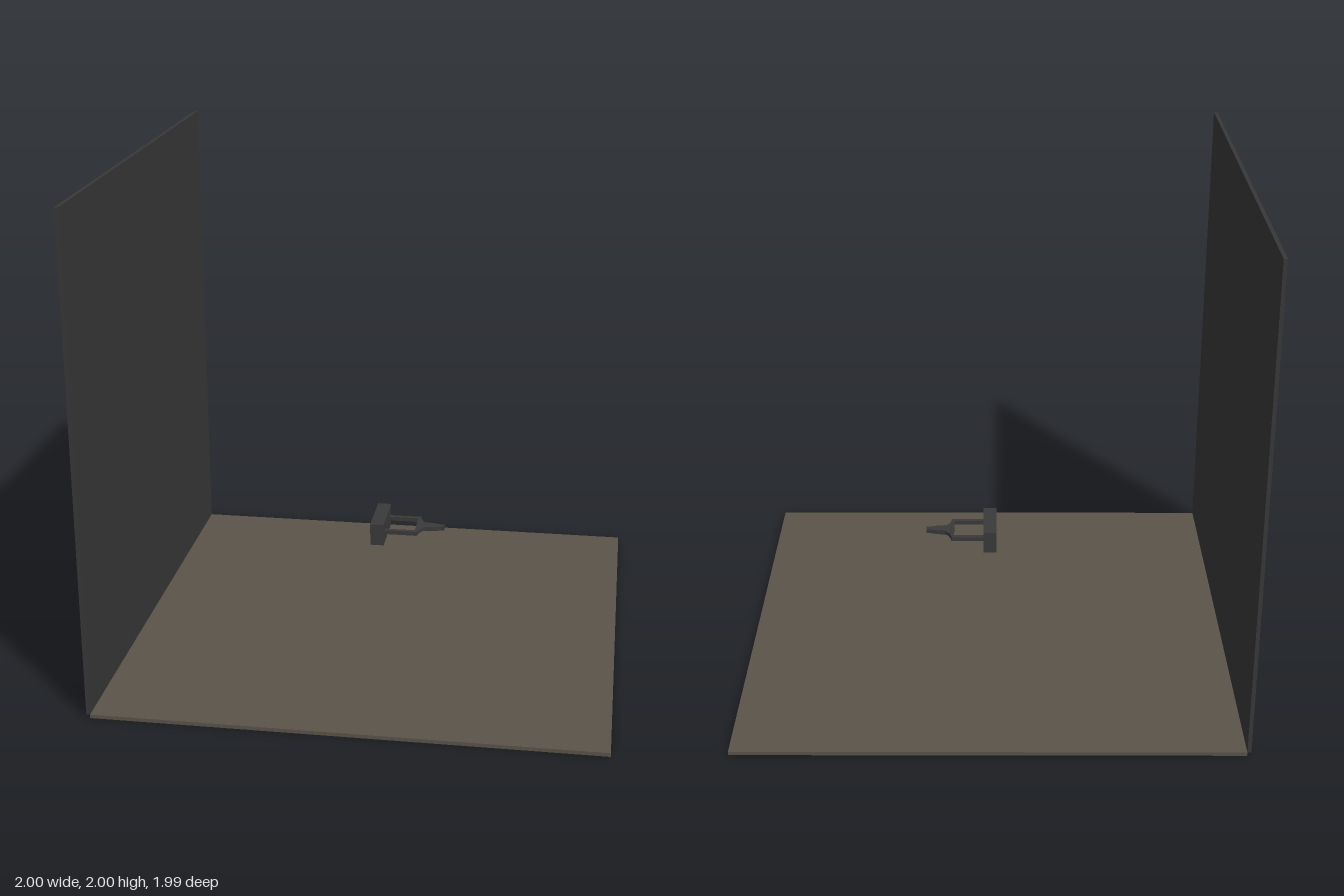
import * as THREE from 'three';

const mat = (name, color) => {
  const m = new THREE.MeshStandardMaterial({ color });
  m.name = name;
  return m;
};

export function createModel() {
  const group = new THREE.Group();
  const wallGrey = mat('wallGrey', 0x383838);
  const floorBrown = mat('floorBrown', 0x5a5449);
  const fixtureGrey = mat('fixtureGrey', 0x3a3a3b);
  const midY = 0.447;

  const add = (name, geometry, material, x = 0, y = 0, z = 0) => {
    const mesh = new THREE.Mesh(geometry, material);
    mesh.name = name;
    mesh.position.set(x, y, z);
    group.add(mesh);
  };
  const box = (name, material, size, pos) =>
    add(name, new THREE.BoxGeometry(...size), material, ...pos);

  // Floor slab and upright wall along its right edge
  box('floor', floorBrown, [1.985, 0.015, 1.985], [0.0075, 0.0075, 0]);
  box('wall', wallGrey, [0.015, 1.985, 1.985], [-0.9925, 1.0075, 0]);

  // Floating fixture: base block with two arms
  box('baseBlock', fixtureGrey, [0.056, 0.092, 0.23], [0, midY, 0]);
  for (const side of [-1, 1]) {
    box('arm', fixtureGrey, [0.132, 0.017, 0.018], [0.094, midY, side * 0.073]);
  }

  // Tapering head joining the arms, pinched in height at its neck
  const half = [[0.152, 0.082], [0.162, 0.082], [0.166, 0.062], [0.177, 0.037],
    [0.19, 0.026], [0.225, 0.021], [0.255, 0.012], [0.27, 0.011]];
  const outline = [...half, ...half.map(([x, z]) => [x, -z]).reverse()]
    .map(([x, z]) => new THREE.Vector2(x, z));
  const head = new THREE.ExtrudeGeometry(new THREE.Shape(outline), { depth: 0.018, bevelEnabled: false });
  head.translate(0, 0, -0.009).rotateX(-Math.PI / 2);
  const p = head.attributes.position;
  for (let i = 0; i < p.count; i++) {
    if (Math.abs(p.getX(i) - 0.177) < 0.005) p.setY(i, p.getY(i) * 0.75);
  }
  head.computeVertexNormals();
  add('taperedHead', head, fixtureGrey, 0, midY, 0);

  return group;
}
